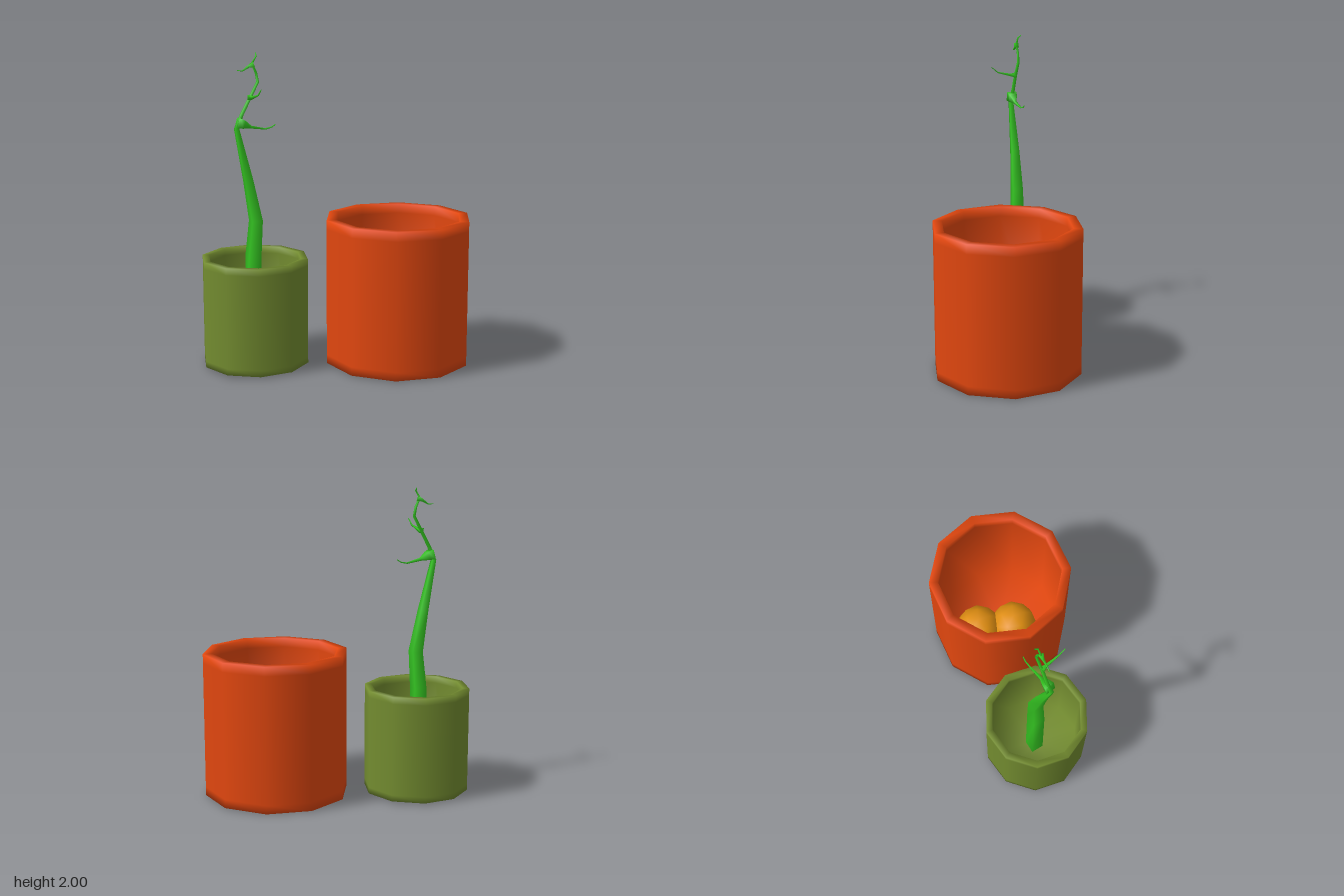
import * as THREE from 'three';

const mat = (color) => new THREE.MeshStandardMaterial({ color });

// Open ten-sided pot with a thick wall and softly shaded rim and foot
function makePot(name, color, scale, x, y, z, turn) {
  const R = 0.473, H = 0.95, t = 0.06;
  const profile = [
    [0, 0], [R - t, 0], [R, 0.004], [R, t], [R, H - t], [R, H],
    [R - t, H], [R - t, H - t], [R - t, t], [0, t],
  ].map(([r, h]) => new THREE.Vector2(r, h));
  const pot = new THREE.Mesh(new THREE.LatheGeometry(profile, 10), mat(color));
  pot.name = name;
  pot.scale.setScalar(scale);
  pot.position.set(x, y, z);
  pot.rotation.y = turn;
  return pot;
}

// Tapering four-sided limb through rows of [x, y, z, radius]
function makeLimb(name, rows, ref, material) {
  const pts = rows.map(([x, y, z]) => new THREE.Vector3(x, y, z));
  const pos = [], idx = [], last = rows.length - 1;
  rows.forEach((row, i) => {
    const t = pts[Math.min(i + 1, last)].clone().sub(pts[Math.max(i - 1, 0)]).normalize();
    const u = ref.clone().addScaledVector(t, -ref.dot(t)).normalize();
    const v = t.clone().cross(u);
    for (let j = 0; j < 4; j++) {
      const a = Math.PI / 4 + j * Math.PI / 2;
      const p = pts[i].clone()
        .addScaledVector(u, row[3] * Math.cos(a))
        .addScaledVector(v, row[3] * Math.sin(a));
      pos.push(p.x, p.y, p.z);
      if (i < last) {
        const k = i * 4, n = (j + 1) % 4;
        idx.push(k + j, k + n, k + 4 + n, k + j, k + 4 + n, k + 4 + j);
      }
    }
  });
  const e = last * 4;
  idx.push(0, 2, 1, 0, 3, 2, e, e + 1, e + 2, e, e + 2, e + 3);
  const geo = new THREE.BufferGeometry();
  geo.setAttribute('position', new THREE.Float32BufferAttribute(pos, 3));
  geo.setIndex(idx);
  geo.computeVertexNormals();
  const limb = new THREE.Mesh(geo, material);
  limb.name = name;
  return limb;
}

export function createModel() {
  const model = new THREE.Group();
  model.name = 'pottedPlant';

  // Pots
  model.add(makePot('largePot', 0xe2470f, 1, 0.4, 0, 0, 0));
  model.add(makePot('smallPot', 0x738c30, 0.73, -0.512, 0.01, 0.134, THREE.MathUtils.degToRad(12)));

  // Pair of touching balls lying in the large pot
  const ballGeo = new THREE.IcosahedronGeometry(0.162, 1);
  ballGeo.rotateZ(-Math.atan(2 / (1 + Math.sqrt(5))));
  const ballMat = mat(0xe08e10);
  [['backBall', -0.165], ['frontBall', 0.082]].forEach(([name, z]) => {
    const ball = new THREE.Mesh(ballGeo, ballMat);
    ball.name = name;
    ball.position.set(0.32, 0.215, z);
    model.add(ball);
  });

  // Crooked stem
  const plant = new THREE.Group();
  plant.name = 'plant';
  const green = mat(0x35c822);
  const side = new THREE.Vector3(0.9, 0, -0.42);
  const up = new THREE.Vector3(0, 1, 0);
  plant.add(makeLimb('stem', [
    [-0.535, 0.06, 0.13, 0.06],
    [-0.522, 0.7, 0.128, 0.058],
    [-0.503, 0.94, 0.125, 0.05],
    [-0.545, 1.2, 0.148, 0.037],
    [-0.608, 1.535, 0.188, 0.019],
    [-0.578, 1.62, 0.165, 0.013],
    [-0.53, 1.72, 0.14, 0.012],
    [-0.482, 1.82, 0.11, 0.01],
    [-0.492, 1.88, 0.115, 0.009],
    [-0.515, 1.935, 0.13, 0.008],
    [-0.49, 1.98, 0.115, 0.006],
    [-0.496, 2.0, 0.095, 0.003],
  ], side, green));

  // Thin twigs, each with a wide root
  plant.add(makeLimb('lowerTwig', [
    [-0.6, 1.57, 0.183, 0.045],
    [-0.57, 1.56, 0.165, 0.036],
    [-0.525, 1.54, 0.14, 0.012],
    [-0.44, 1.522, 0.085, 0.006],
    [-0.405, 1.53, 0.062, 0.005],
    [-0.38, 1.547, 0.05, 0.003],
  ], up, green));
  plant.add(makeLimb('middleTwig', [
    [-0.53, 1.725, 0.14, 0.022],
    [-0.51, 1.728, 0.165, 0.012],
    [-0.463, 1.75, 0.245, 0.005],
    [-0.44, 1.787, 0.283, 0.003],
  ], up, green));
  plant.add(makeLimb('upperTwig', [
    [-0.505, 1.93, 0.128, 0.022],
    [-0.535, 1.917, 0.14, 0.01],
    [-0.57, 1.892, 0.16, 0.005],
    [-0.602, 1.895, 0.168, 0.003],
  ], up, green));
  model.add(plant);

  return model;
}
